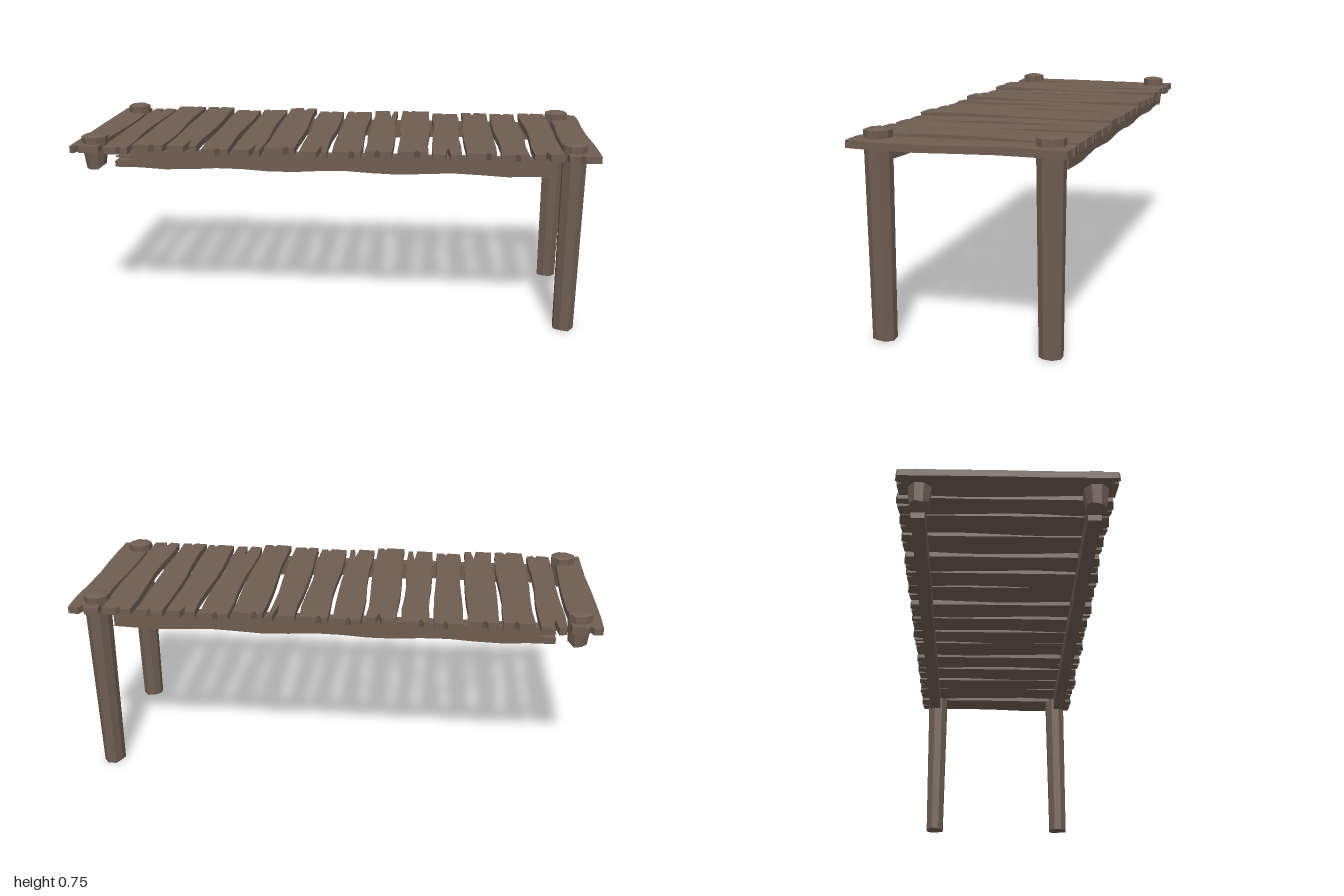
import * as THREE from 'three';

const wood = new THREE.MeshStandardMaterial({ color: 0x6e5d51, flatShading: true });
wood.name = 'weatheredWood';

// small seeded random, -1..1
let seed = 7;
const rnd = () => {
  seed = (seed * 16807) % 2147483647;
  return (seed / 2147483647) * 2 - 1;
};

function part(geometry, name) {
  const mesh = new THREE.Mesh(geometry, wood);
  mesh.name = name;
  return mesh;
}

// Left and right limits of each plank along x
const PLANKS = [
  [-1, -0.88], [-0.87, -0.77], [-0.757, -0.633], [-0.625, -0.503],
  [-0.493, -0.383], [-0.373, -0.262], [-0.252, -0.13], [-0.12, -0.008],
  [0.003, 0.117], [0.125, 0.233], [0.247, 0.37], [0.378, 0.492],
  [0.503, 0.62], [0.628, 0.738], [0.75, 0.865], [0.875, 1],
];
// Long end cracks: plank index -> depth at the front / back end
const FRONT_CRACKS = { 3: 0.09, 5: 0.1, 7: 0.1, 11: 0.11, 14: 0.05 };
const BACK_CRACKS = { 1: 0.09, 6: 0.05, 9: 0.12, 12: 0.05, 15: 0.03 };
// Planks that sit slightly higher
const RAISED = [2, 3, 6, 10, 14];

// Plank: wavy outline with split ends, extruded and bent a little
function plank([x0, x1], i) {
  const w = x1 - x0;
  const phase = i * 1.9;
  const wave = (z, k) => 0.006 * Math.sin(z * 9 + phase + k);
  const side = [-0.27, -0.14, 0, 0.13, 0.26];
  const pts = [];

  const end = (s, depth) => {
    const f = 0.5 + 0.25 * rnd();
    const z = s * (0.382 + 0.006 * rnd());
    const row = [
      [x0 + 0.004, z - s * 0.004],
      [x0 + w * (f - 0.09), z + s * 0.003],
      [x0 + w * f, z - s * depth],
      [x0 + w * (f + 0.09), z],
      [x1 - 0.004, z - s * 0.005],
    ];
    return s > 0 ? row : row.reverse();
  };

  for (const z of side) pts.push([x0 + 0.003 + Math.max(-0.003, wave(z, 0)), z]);
  pts.push(...end(1, FRONT_CRACKS[i] ?? 0.022));
  for (const z of [...side].reverse()) pts.push([x1 - 0.003 + Math.min(0.003, wave(z, 2)), z]);
  pts.push(...end(-1, BACK_CRACKS[i] ?? 0.022));

  const shape = new THREE.Shape(pts.map(([x, z]) => new THREE.Vector2(x, -z)));
  const lift = RAISED.includes(i) ? 0.007 : 0;
  const geo = new THREE.ExtrudeGeometry(shape, { depth: 0.026, bevelEnabled: false });
  geo.rotateX(-Math.PI / 2);
  const p = geo.attributes.position;
  for (let v = 0; v < p.count; v++) {
    const bend = 0.003 * Math.sin(p.getZ(v) * 8 + phase);
    p.setY(v, p.getY(v) + 0.682 + lift + bend);
  }
  geo.computeVertexNormals();
  return part(geo, 'plank');
}

// Beam: long board with wavy lower edge and a split right-hand end
function beam(z, name) {
  const pts = [[-0.835, 0.683], [-0.835, 0.673], [-0.75, 0.667], [-0.835, 0.66],
    [-0.745, 0.648], [-0.835, 0.643], [-0.835, 0.62]];
  for (let x = -0.74; x < 0.8; x += 0.1) {
    pts.push([x, 0.619 - 0.005 * Math.sin((x + 0.73) * 14.5)]);
  }
  pts.push([0.835, 0.62], [0.835, 0.683]);
  const shape = new THREE.Shape(pts.map(([x, y]) => new THREE.Vector2(x, y)));
  const geo = new THREE.ExtrudeGeometry(shape, { depth: 0.05, bevelEnabled: false });
  geo.translate(0, 0, z - 0.025);
  return part(geo, name);
}

// Post: tapered eight-sided log with a low pointed top and rough foot
function post(x, z, bottom, rTop, rBottom, rough, name) {
  const SIDES = 8;
  const rows = [
    [0, bottom + rough], [rBottom, bottom], [rTop, 0.7],
    [rTop * 1.02, 0.735], [rTop * 0.7, 0.741], [0, 0.746],
  ];
  const geo = new THREE.LatheGeometry(rows.map(([r, y]) => new THREE.Vector2(r, y)), SIDES, Math.PI / 8);
  const radial = Array.from({ length: SIDES }, () => 0.98 + 0.06 * rnd());
  const foot = Array.from({ length: SIDES }, (_, k) => (k % 3 === 0 ? 0 : rough * (0.5 + 0.5 * rnd())));
  const p = geo.attributes.position;
  for (let v = 0; v < p.count; v++) {
    const column = Math.floor(v / rows.length) % SIDES;
    const row = v % rows.length;
    p.setX(v, p.getX(v) * radial[column]);
    p.setZ(v, p.getZ(v) * radial[column]);
    if (row === 1) p.setY(v, bottom + foot[column]);
  }
  geo.translate(x, 0, z);
  geo.computeVertexNormals();
  return part(geo, name);
}

export function createModel() {
  seed = 7;
  const model = new THREE.Group();
  model.name = 'woodenDock';

  const deck = new THREE.Group();
  deck.name = 'deck';
  PLANKS.forEach((limits, i) => deck.add(plank(limits, i)));
  model.add(deck);

  model.add(beam(0.315, 'frontBeam'), beam(-0.31, 'backBeam'));

  // Long posts on the left, short stubs on the right
  model.add(
    post(0.907, 0.3, 0, 0.048, 0.042, 0.006, 'longPostFront'),
    post(0.907, -0.297, 0, 0.05, 0.042, 0.006, 'longPostBack'),
    post(-0.917, 0.31, 0.608, 0.05, 0.037, 0.016, 'shortPostFront'),
    post(-0.917, -0.3, 0.608, 0.048, 0.037, 0.016, 'shortPostBack'),
  );
  return model;
}
